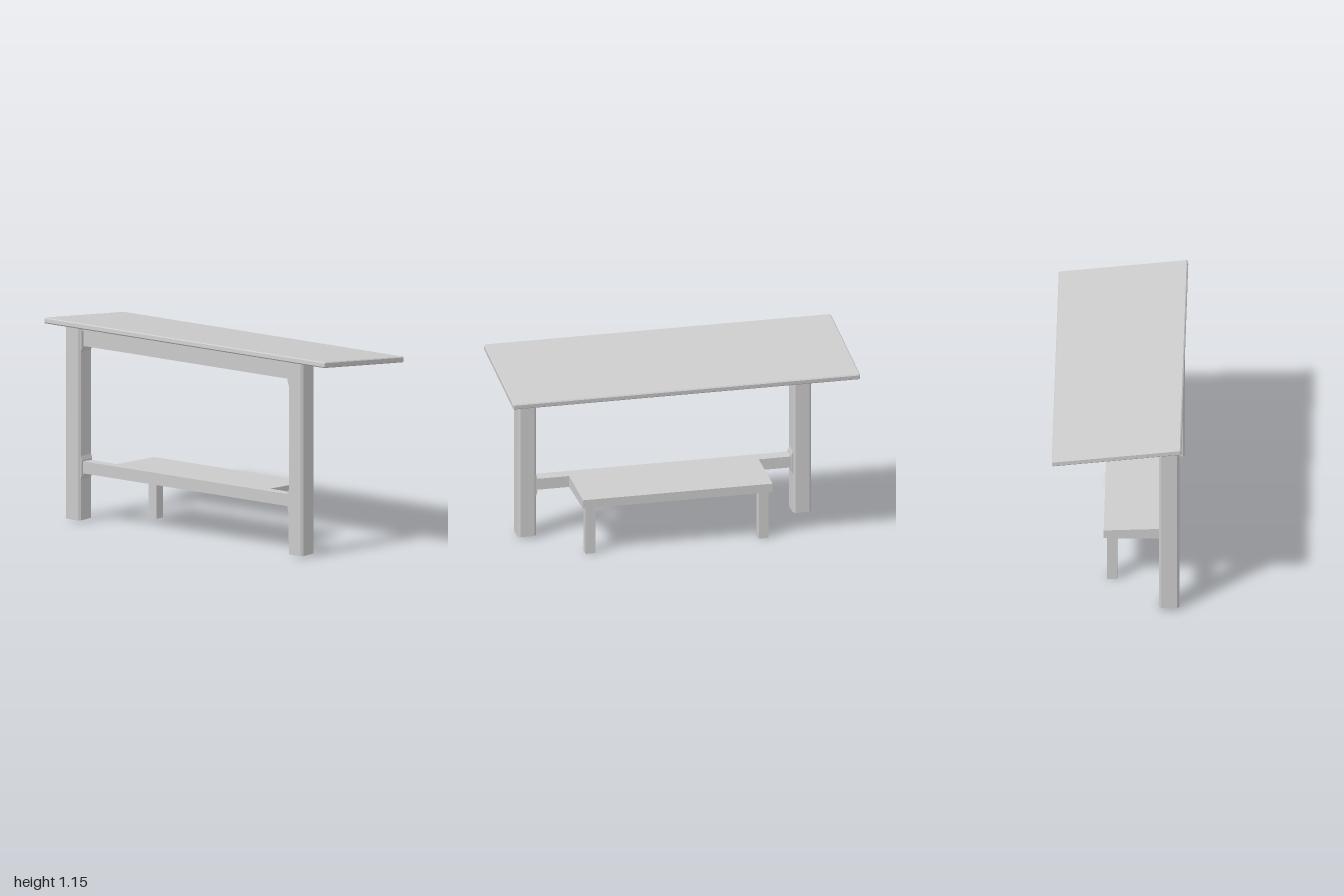
import * as THREE from 'three';

const grey = new THREE.MeshStandardMaterial({ color: 0xcccccc, flatShading: true });
const greyOpen = new THREE.MeshStandardMaterial({ color: 0xcccccc, flatShading: true, side: THREE.DoubleSide });

const MID_Z = -0.0145; // frame sits slightly off the table's centre
const POST_X = -0.2925;
const TILT = -0.118;
const underTop = (x) => 1.076 + Math.tan(TILT) * x; // just inside the sloping top

function chamferedRect(w, h, c) {
  const x = w / 2, y = h / 2;
  return new THREE.Shape([
    [-x + c, -y], [x - c, -y], [x, -y + c], [x, y - c],
    [x - c, y], [-x + c, y], [-x, y - c], [-x, -y + c],
  ].map(([a, b]) => new THREE.Vector2(a, b)));
}

// Upright extrusion of a plan shape (shape y becomes -z)
function upright(shape, height) {
  return new THREE.ExtrudeGeometry(shape, { depth: height, bevelEnabled: false }).rotateX(-Math.PI / 2);
}

// Moves every vertex above a level to a height given by its x
function slopeTop(geo, level, heightAt) {
  const p = geo.attributes.position;
  for (let i = 0; i < p.count; i++) {
    if (p.getY(i) > level) p.setY(i, heightAt(p.getX(i)));
  }
  geo.computeVertexNormals();
  return geo;
}

export function createModel() {
  const model = new THREE.Group();
  const add = (name, geo, mat = grey) => {
    const mesh = new THREE.Mesh(geo, mat);
    mesh.name = name;
    model.add(mesh);
    return mesh;
  };

  // Sloping tabletop with a fine chamfer on all edges
  const bevel = 0.005;
  const topGeo = new THREE.ExtrudeGeometry(chamferedRect(0.73 - 2 * bevel, 0.0325 - 2 * bevel, 0.003), {
    depth: 2 - 2 * bevel, bevelThickness: bevel, bevelSize: bevel, bevelSegments: 1,
  }).translate(0, 0, -1 + bevel);
  const top = add('tabletop', topGeo);
  top.rotation.z = TILT;
  top.position.y = 1.0895;

  for (const side of [1, -1]) {
    const prefix = side > 0 ? 'left' : 'right';

    // Chamfered post, cut at the slope of the top
    const post = upright(chamferedRect(0.115, 0.104, 0.012), 1.09)
      .translate(POST_X, 0.013, MID_Z + side * 0.793);
    add(prefix + 'Post', slopeTop(post, 0.5, underTop));

    // Slight swellings on the post's inner face where the rails join
    for (const [low, high, name] of [[0.26, 0.37, 'LowerJoint'], [0.99, 1.10, 'UpperJoint']]) {
      const s = new THREE.Shape();
      s.moveTo(0, low - 0.012);
      s.lineTo(0.018, low - 0.012);
      s.lineTo(0.026, low + 0.012);
      s.lineTo(0.026, high - 0.012);
      s.lineTo(0.018, high + 0.012);
      s.lineTo(0, Math.min(high + 0.012, 1.1));
      const geo = new THREE.ExtrudeGeometry(s, { depth: 0.095, bevelEnabled: false })
        .rotateY(side * Math.PI / 2)
        .translate(POST_X - side * 0.0475, 0, MID_Z + side * 0.759);
      if (high > 1) slopeTop(geo, 1.05, (x) => Math.min(underTop(x), 1.1));
      add(prefix + name, geo);
    }

    // Short bench leg, open at the foot
    const leg = new THREE.CylinderGeometry(Math.SQRT1_2, Math.SQRT1_2, 0.29, 4, 1, true)
      .rotateY(Math.PI / 4)
      .scale(0.058, 1, 0.056)
      .translate(0.034, 0.145, MID_Z + side * 0.499);
    add(prefix + 'BenchLeg', leg, greyOpen);
  }

  // Upper rail between the posts
  const rail = new THREE.BoxGeometry(0.05, 0.08, 1.5).translate(-0.3, 1.052, MID_Z);
  add('upperRail', slopeTop(rail, 1.05, underTop));

  // Bench seat and its rear rail in one stepped board
  const [back, step, front, end, half] = [-0.327, -0.257, 0.081, 0.75, 0.5465];
  const bench = new THREE.Shape([
    [back, -end], [step, -end], [step, -half], [front, -half],
    [front, half], [step, half], [step, end], [back, end],
  ].map(([a, b]) => new THREE.Vector2(a, b)));
  const benchGeo = upright(bench, 0.06).translate(0, 0.282, MID_Z);
  add('benchSeat', slopeTop(benchGeo, 0.3, (x) => 0.3365 - 0.0445 * x));

  return model;
}
